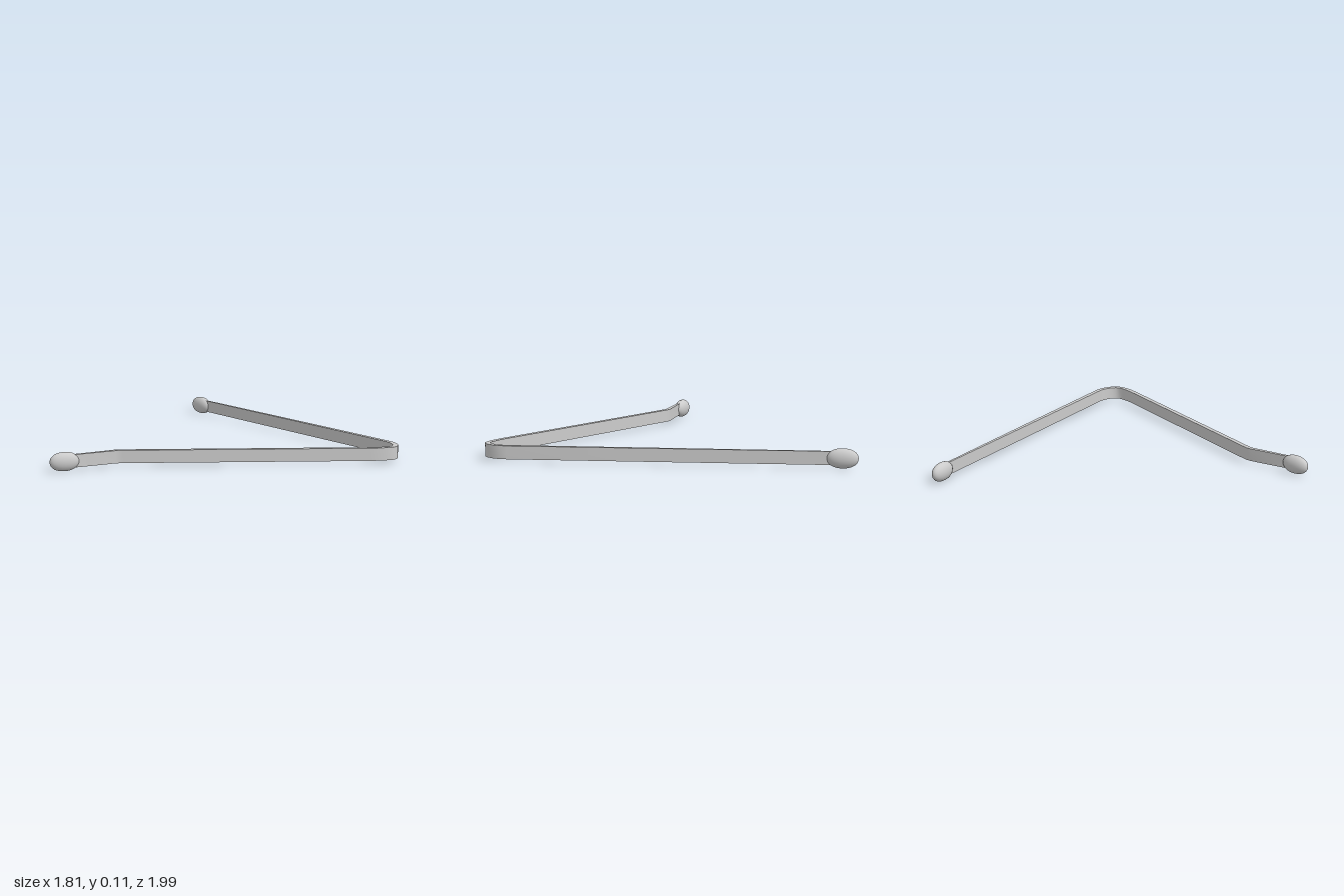
import * as THREE from 'three';
import { toCreasedNormals } from 'three/addons/utils/BufferGeometryUtils.js';

const MID_Y = 0.055;

// Centre line of the bent strip in plan: x, z, thickness
const PATH = [
  [0.867, -0.87, 0.013], [0.867, -0.5, 0.018], [0.867, 0.1, 0.024], [0.867, 0.855, 0.028],
  [0.862, 0.89, 0.03], [0.848, 0.925, 0.03], [0.827, 0.955, 0.03], [0.803, 0.973, 0.03],
  [0.775, 0.98, 0.03], [0.735, 0.968, 0.03], [0.69, 0.948, 0.03], [0.65, 0.925, 0.03],
  [-0.49, 0.172, 0.028], [-0.51, 0.16, 0.028], [-0.535, 0.151, 0.027], [-0.8, 0.112, 0.016],
];

// Flat strip: offset the centre line to both sides, then extrude upward
function stripGeometry(bottom, top) {
  const sides = [[], []];
  PATH.forEach(([x, z, t], i) => {
    const a = PATH[Math.max(i - 1, 0)], b = PATH[Math.min(i + 1, PATH.length - 1)];
    const here = new THREE.Vector2(x, z);
    const into = here.clone().sub(new THREE.Vector2(a[0], a[1])).normalize();
    const out = new THREE.Vector2(b[0], b[1]).sub(here).normalize();
    const dir = into.add(out).normalize();
    const normal = new THREE.Vector2(-dir.y, dir.x);
    sides[0].push(here.clone().addScaledVector(normal, t / 2));
    sides[1].unshift(here.clone().addScaledVector(normal, -t / 2));
  });
  const shape = new THREE.Shape([...sides[0], ...sides[1]]);
  const geo = new THREE.ExtrudeGeometry(shape, { depth: top - bottom, bevelEnabled: false });
  geo.rotateX(Math.PI / 2).translate(0, top, 0);
  return toCreasedNormals(geo, 0.6);
}

// Rounded end bead: slightly blunt ellipsoid, long axis along z
function beadGeometry() {
  const profile = [];
  const n = 18, power = 0.92;
  for (let i = 0; i <= n; i++) {
    const a = -Math.PI / 2 + (Math.PI * i) / n;
    const r = Math.pow(Math.max(Math.cos(a), 0), power);
    const h = Math.sign(Math.sin(a)) * Math.pow(Math.abs(Math.sin(a)), power);
    profile.push(new THREE.Vector2(i === 0 || i === n ? 0 : r, h));
  }
  return new THREE.LatheGeometry(profile, 28).rotateX(Math.PI / 2).scale(0.037, 0.053, 0.083);
}

export function createModel() {
  const group = new THREE.Group();
  const material = new THREE.MeshStandardMaterial({ color: 0xcccccc });

  const strip = new THREE.Mesh(stripGeometry(0.02, 0.092), material);
  strip.name = 'bentStrip';
  group.add(strip);

  // One bead on each tip, turned to follow its end of the strip
  const bead = beadGeometry();
  const tips = [
    ['leftTip', 0.867, -0.917, 0],
    ['rightTip', -0.828, 0.097, Math.PI / 2 - 0.26],
  ];
  for (const [name, x, z, turn] of tips) {
    const tip = new THREE.Mesh(bead, material);
    tip.name = name;
    tip.position.set(x, MID_Y, z);
    tip.rotation.y = turn;
    group.add(tip);
  }
  return group;
}
